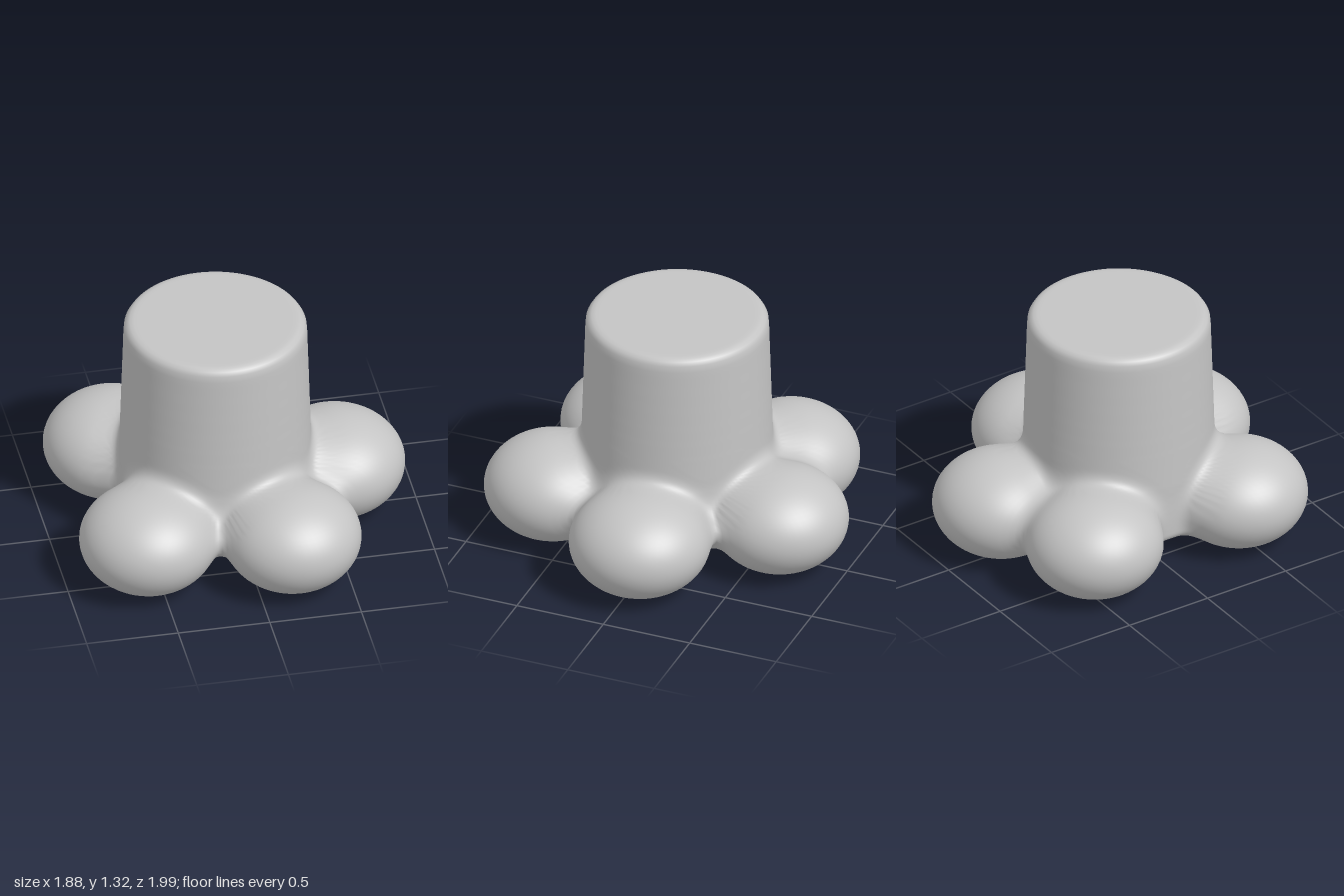
import * as THREE from 'three';
import { mergeVertices } from 'three/addons/utils/BufferGeometryUtils.js';

// Round lobes around the foot: x, z, horizontal radius
const LOBES = [
  [0.05, -0.63, 0.37],
  [-0.57, -0.44, 0.37],
  [-0.56, 0.49, 0.37],
  [0.2, 0.62, 0.37],
  [0.56, -0.03, 0.38],
];
const LOBE_Y = 0.285, LOBE_HEIGHT = 0.28;
const TRUNK = { x: -0.1, z: 0.025, bottom: 0.15, top: 1.325, edge: 0.05 };
const HUB = new THREE.Vector3(TRUNK.x, 0.4, TRUNK.z);

// Distance to a flattened ball
function lobeDistance(p, [x, z, r]) {
  const a = (p.x - x) / r, b = (p.y - LOBE_Y) / LOBE_HEIGHT, c = (p.z - z) / r;
  const k0 = Math.hypot(a, b, c);
  const k1 = Math.hypot(a / r, b / LOBE_HEIGHT, c / r);
  return k1 < 1e-6 ? -LOBE_HEIGHT : k0 * (k0 - 1) / k1;
}

// Distance to a slightly tapering cylinder with a rounded rim
function trunkDistance(p) {
  const { x, z, bottom, top, edge } = TRUNK;
  const radius = 0.515 - 0.025 * THREE.MathUtils.clamp((p.y - 0.5) / 0.8, 0, 1);
  const dr = Math.hypot(p.x - x, p.z - z) - radius + edge;
  const dy = Math.abs(p.y - (top + bottom) / 2) - (top - bottom) / 2 + edge;
  return Math.min(Math.max(dr, dy), 0) + Math.hypot(Math.max(dr, 0), Math.max(dy, 0)) - edge;
}

// Joins two shapes with a soft fillet
function blend(a, b, k) {
  const h = Math.max(k - Math.abs(a - b), 0) / k;
  return Math.min(a, b) - h * h * k / 4;
}

function bodyDistance(p) {
  const lobes = LOBES.map((l) => lobeDistance(p, l)).reduce((a, b) => blend(a, b, 0.12));
  return blend(lobes, trunkDistance(p), 0.1);
}

// Shrinks a sphere inward onto the blended trunk and lobes
function bodyGeometry() {
  let geo = new THREE.SphereGeometry(1, 180, 150);
  geo.deleteAttribute('uv');
  geo.deleteAttribute('normal');
  geo = mergeVertices(geo, 1e-5);
  const pos = geo.attributes.position;
  const dir = new THREE.Vector3(), p = new THREE.Vector3();
  for (let i = 0; i < pos.count; i++) {
    dir.fromBufferAttribute(pos, i).normalize();
    let t = 1.6;
    for (let step = 0; step < 120; step++) {
      p.copy(HUB).addScaledVector(dir, t);
      const d = bodyDistance(p);
      if (d < 0.0005) break;
      t -= d * 0.7;
    }
    pos.setXYZ(i, p.x, p.y, p.z);
  }
  geo.computeVertexNormals();
  return geo;
}

export function createModel() {
  const group = new THREE.Group();
  group.name = 'lobedStump';
  const grey = new THREE.MeshStandardMaterial({ color: 0xc4c4c4 });
  grey.name = 'light grey';
  const body = new THREE.Mesh(bodyGeometry(), grey);
  body.name = 'trunkWithLobes';
  group.add(body);
  return group;
}
